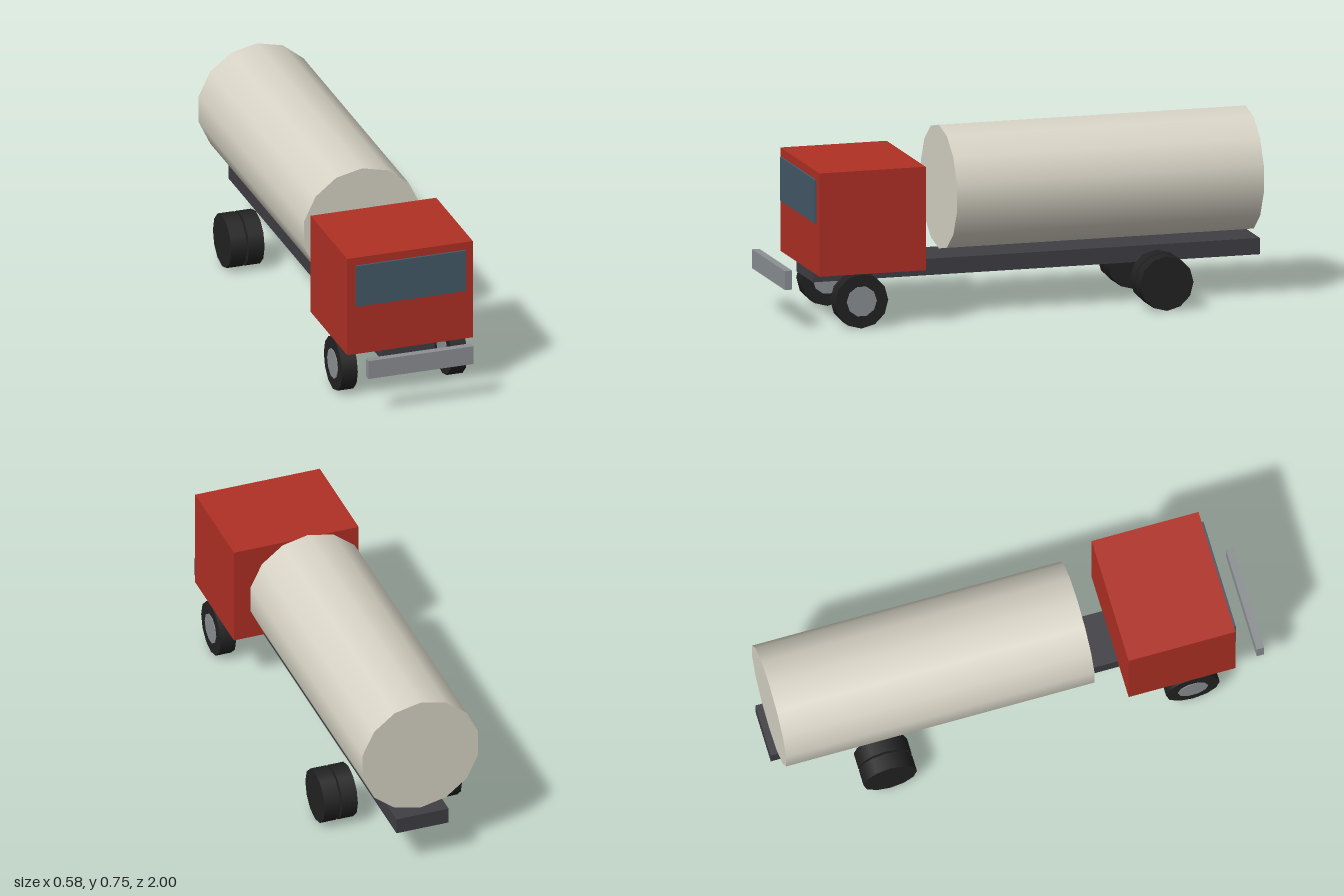
import * as THREE from 'three';

const material = (name, color) => {
  const m = new THREE.MeshStandardMaterial({ color });
  m.name = name;
  return m;
};

export function createModel() {
  const truck = new THREE.Group();
  truck.name = 'tankerTruck';

  const red = material('cabRed', 0xb03024);
  const cream = material('tankCream', 0xd8d4c6);
  const dark = material('chassisGrey', 0x3e3e44);
  const rubber = material('tyreBlack', 0x222222);
  const metal = material('metalGrey', 0x8c9093);
  const glass = material('windowBlue', 0x445a68);

  const add = (name, geometry, mat, x, y, z) => {
    const mesh = new THREE.Mesh(geometry, mat);
    mesh.name = name;
    mesh.position.set(x, y, z);
    truck.add(mesh);
  };
  // Box given by its full width and its y and z ranges, centred on x = 0
  const box = (name, mat, w, y0, y1, z0, z1) =>
    add(name, new THREE.BoxGeometry(w, y1 - y0, z1 - z0), mat, 0, (y0 + y1) / 2, (z0 + z1) / 2);
  // Cylinder lying across the truck
  const axle = (name, mat, r, w, sides, x, z) =>
    add(name, new THREE.CylinderGeometry(r, r, w, sides).rotateZ(Math.PI / 2), mat, x, 0.11, z);

  // Body
  box('chassis', dark, 0.22, 0.166, 0.232, -1, 0.85);
  box('cab', red, 0.526, 0.22, 0.638, 0.43, 0.87);
  box('windscreen', glass, 0.46, 0.43, 0.606, 0.872, 0.881);
  box('bumper', metal, 0.44, 0.166, 0.243, 0.97, 1);

  // Tank
  add('tank', new THREE.CylinderGeometry(0.25, 0.25, 1.27, 14).rotateX(Math.PI / 2),
    cream, 0, 0.497, -0.34);

  // Single front wheels with hubs, double rear wheels
  for (const side of [-1, 1]) {
    axle('frontTyre', rubber, 0.11, 0.066, 12, side * 0.229, 0.695);
    axle('frontHub', metal, 0.062, 0.072, 10, side * 0.229, 0.695);
    axle('rearInnerTyre', rubber, 0.11, 0.066, 12, side * 0.183, -0.56);
    axle('rearOuterTyre', rubber, 0.11, 0.066, 12, side * 0.257, -0.56);
  }
  return truck;
}
